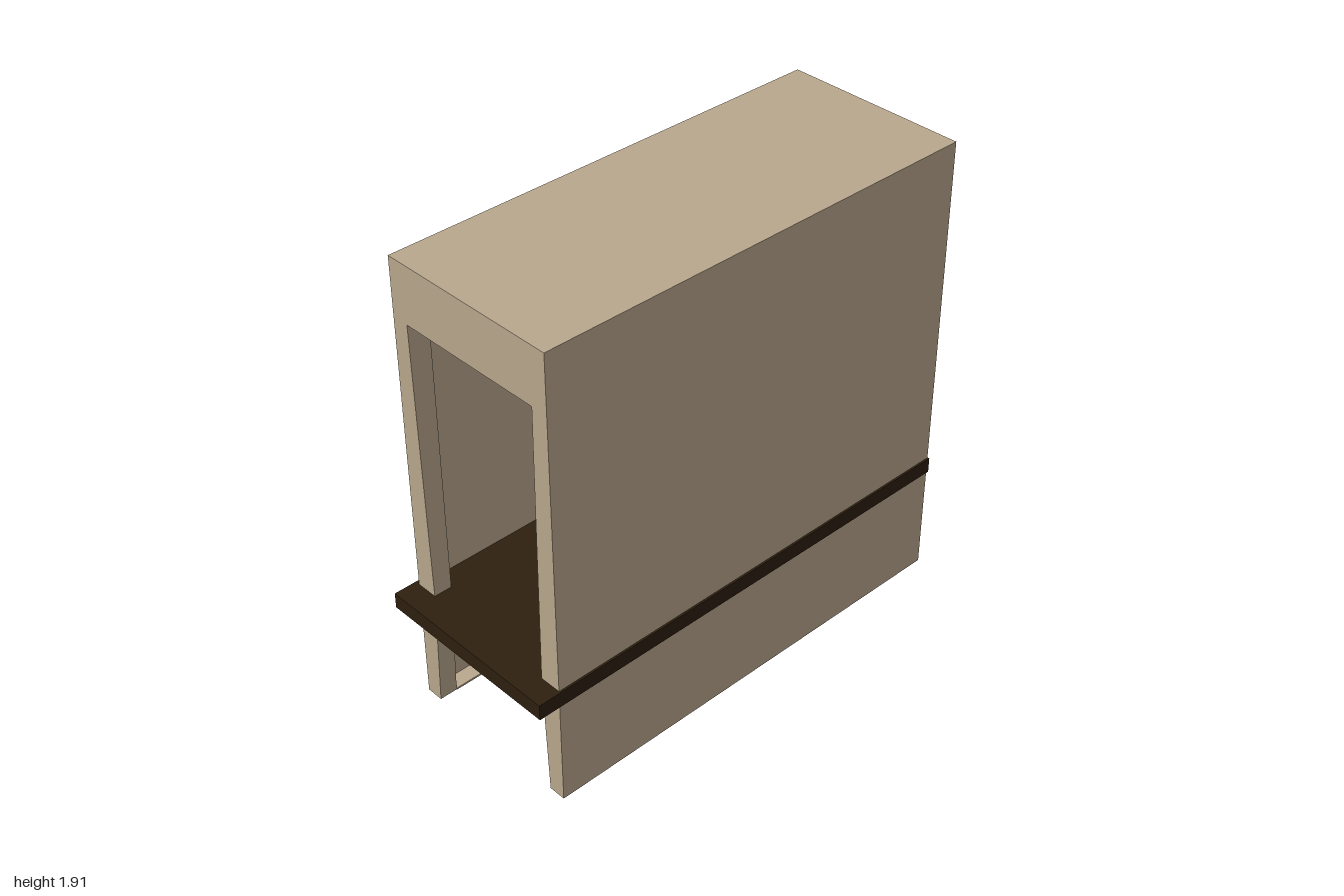
import * as THREE from 'three';

const HEIGHT = 1.91, X0 = -0.905, X1 = 0.998, ZC = 0.006, HALF = 0.384, SKIN = 0.008;

export function createModel() {
  const tan = new THREE.MeshStandardMaterial({ color: 0xbaa88e });
  tan.name = 'tan panel';
  const brown = new THREE.MeshStandardMaterial({ color: 0x2e200f });
  brown.name = 'dark brown';

  const model = new THREE.Group();
  const add = (parent, name, geometry, material, x, y, z) => {
    const mesh = new THREE.Mesh(geometry, material);
    mesh.name = name;
    mesh.position.set(x, y, z);
    parent.add(mesh);
    return mesh;
  };

  // Hollow shell: thin top, side panels and turned-in bottom flanges
  const shell = new THREE.Group();
  shell.name = 'shell';
  shell.position.z = ZC;
  model.add(shell);
  const length = X1 - X0, midX = (X0 + X1) / 2;
  add(shell, 'topPanel', new THREE.BoxGeometry(length, SKIN, HALF * 2), tan, midX, HEIGHT - SKIN / 2, 0);
  for (const [side, s] of [['front', 1], ['back', -1]]) {
    add(shell, side + 'Panel', new THREE.BoxGeometry(length, HEIGHT - SKIN, SKIN), tan,
      midX, (HEIGHT - SKIN) / 2, s * (HALF - SKIN / 2));
    add(shell, side + 'BottomFlange', new THREE.BoxGeometry(length - 0.15, SKIN, 0.065), tan,
      midX, SKIN / 2, s * (HALF - SKIN - 0.0325));
  }

  // End frames: tapered legs under a deep header, with a splayed opening
  const w = HALF - SKIN, top = HEIGHT - SKIN, head = 1.675, depth = 0.075;
  const outline = new THREE.Shape([
    [-w, 0], [-0.313, 0], [-0.293, 0.5], [-0.313, head],
    [0.313, head], [0.293, 0.5], [0.313, 0], [w, 0], [w, top], [-w, top],
  ].map(([z, y]) => new THREE.Vector2(z, y)));
  const frame = new THREE.ExtrudeGeometry(outline, { depth, bevelEnabled: false });
  const p = frame.attributes.position;
  for (let i = 0; i < p.count; i++) {
    // Narrow the inner edge of the opening below the header
    if (Math.abs(p.getY(i) - head) < 0.001 && p.getZ(i) < 0.001) p.setX(i, Math.sign(p.getX(i)) * 0.293);
  }
  frame.translate(0, 0, -depth);
  frame.rotateY(Math.PI / 2);
  frame.computeVertexNormals();
  add(shell, 'leftEndFrame', frame, tan, X1, 0, 0);
  add(shell, 'rightEndFrame', frame, tan, X0, 0, 0).rotation.y = Math.PI;

  // Shelf that passes through the shell and projects past one end
  add(model, 'shelf', new THREE.BoxGeometry(2, 0.065, 0.796), brown, 0, 0.487, 0);
  return model;
}
